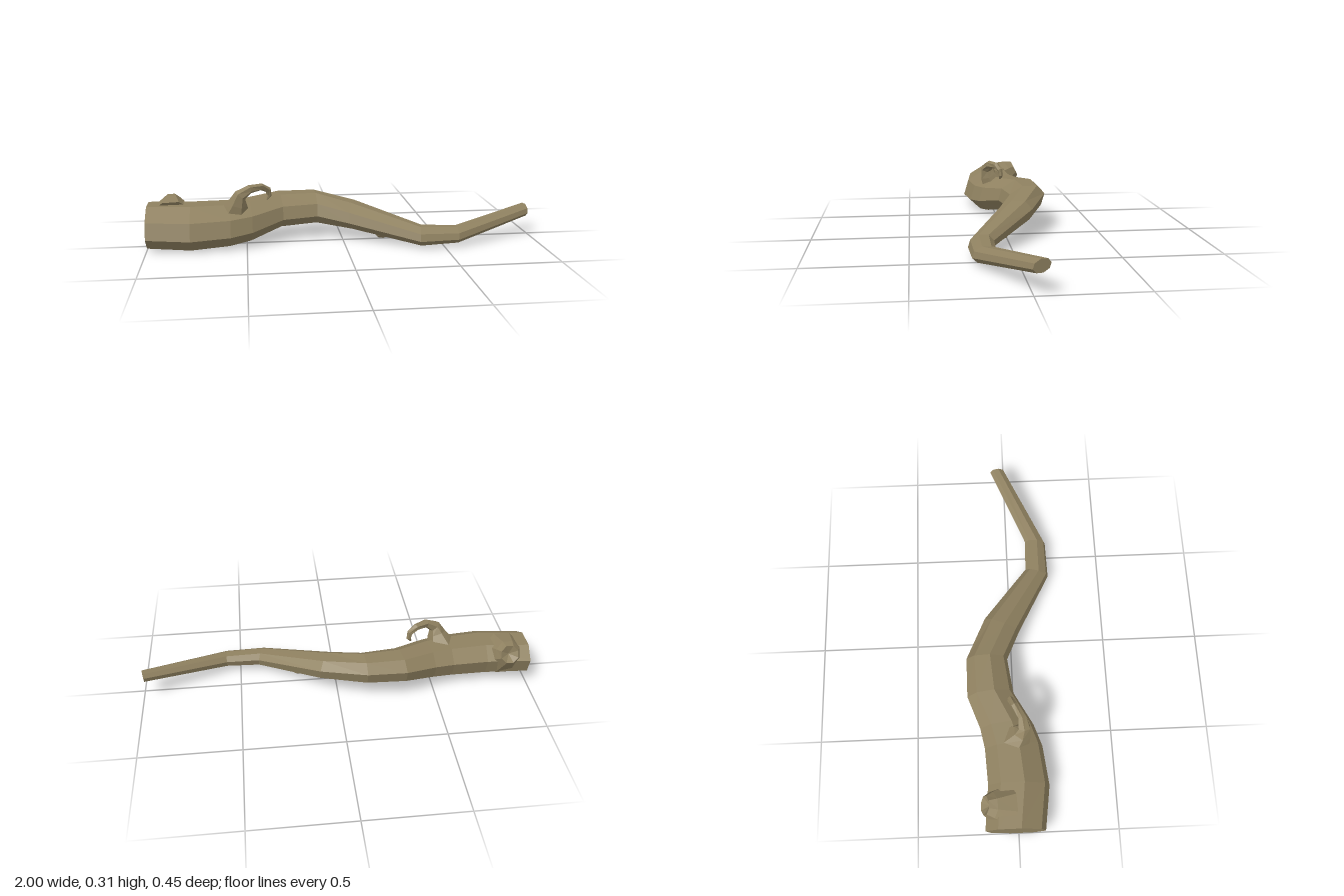
import * as THREE from 'three';

const bark = new THREE.MeshStandardMaterial({ color: 0x8f8160, flatShading: true });

// Skin a list of rings, running counter-clockwise about the direction of travel, and cap both ends.
function loft(name, rings, dent = 0) {
  const pos = [];
  const tri = (...pts) => pts.forEach((p) => pos.push(p.x, p.y, p.z));
  const n = rings[0].length;
  const middle = (ring) => ring.reduce((s, p) => s.add(p), new THREE.Vector3()).divideScalar(n);
  const first = rings[0];
  const last = rings[rings.length - 1];
  const c0 = middle(first);
  const c1 = middle(last);
  if (dent) c1.lerp(middle(rings[rings.length - 2]), dent);
  for (let j = 0; j < n; j++) {
    const k = (j + 1) % n;
    for (let i = 0; i < rings.length - 1; i++) {
      const a = rings[i], b = rings[i + 1];
      tri(a[j], a[k], b[k]);
      tri(a[j], b[k], b[j]);
    }
    tri(c0, first[k], first[j]);
    tri(c1, last[j], last[k]);
  }
  const geo = new THREE.BufferGeometry();
  geo.setAttribute('position', new THREE.Float32BufferAttribute(pos, 3));
  geo.computeVertexNormals();
  const mesh = new THREE.Mesh(geo, bark);
  mesh.name = name;
  return mesh;
}

// Tapered shoot through points [x, y, z, radius].
function shoot(name, points, sides, side, dent) {
  const c = points.map((p) => new THREE.Vector3(p[0], p[1], p[2]));
  const rings = points.map((p, i) => {
    const d = c[Math.min(i + 1, c.length - 1)].clone().sub(c[Math.max(i - 1, 0)]).normalize();
    const u = side.clone().addScaledVector(d, -side.dot(d)).normalize();
    const v = d.clone().cross(u);
    return Array.from({ length: sides }, (_, j) => {
      const a = ((j + 0.5) / sides) * Math.PI * 2;
      return c[i].clone().addScaledVector(u, Math.cos(a) * p[3]).addScaledVector(v, Math.sin(a) * p[3]);
    });
  });
  return loft(name, rings, dent);
}

// Octagonal trunk section: back edge (x, z), front edge (x, z), bottom and top y.
function trunkRing([xb, zb, xf, zf, y0, y1]) {
  const hy = (y1 - y0) / 2;
  const hz = (zf - zb) / 2 - 0.1 * hy;
  const k = 1 / Math.cos(Math.PI / 8);
  return Array.from({ length: 8 }, (_, j) => {
    const a = ((j + 0.5) / 8) * Math.PI * 2;
    const w = -Math.cos(a) * k;
    const h = Math.sin(a) * k * hy;
    return new THREE.Vector3(
      (xb + xf) / 2 + (w * (xf - xb)) / 2,
      (y0 + y1) / 2 + h,
      (zb + zf) / 2 + w * hz - 0.3 * h // the section leans back
    );
  });
}

export function createModel() {
  const group = new THREE.Group();
  group.name = 'branch';

  // Winding main limb, thick end at -x
  const sections = [
    [-1, -0.16, -1, 0.13, 0.01, 0.21],
    [-0.78, -0.14, -0.78, 0.16, 0.0, 0.21],
    [-0.6, -0.15, -0.58, 0.135, 0.01, 0.21],
    [-0.5, -0.17, -0.47, 0.095, 0.025, 0.215],
    [-0.34, -0.23, -0.31, 0.0, 0.07, 0.23],
    [-0.14, -0.23, -0.13, -0.025, 0.08, 0.23],
    [0.09, -0.13, 0.03, 0.045, 0.06, 0.19],
    [0.4, 0.1, 0.37, 0.22, 0.012, 0.102],
    [0.57, 0.105, 0.57, 0.215, 0.02, 0.095],
    [0.985, -0.073, 1, 0.005, 0.095, 0.155],
  ];
  group.add(loft('mainLimb', sections.map(trunkRing)));

  const xAxis = new THREE.Vector3(1, 0, 0);
  const zAxis = new THREE.Vector3(0, 0, 1);

  // Hooked twig curling over the limb
  group.add(shoot('hookedTwig', [
    [-0.56, 0.16, 0.0, 0.085],
    [-0.54, 0.225, 0.035, 0.048],
    [-0.527, 0.265, 0.045, 0.032],
    [-0.48, 0.293, 0.035, 0.022],
    [-0.42, 0.296, 0.0, 0.018],
    [-0.385, 0.275, -0.018, 0.016],
    [-0.38, 0.245, -0.022, 0.012],
    [-0.393, 0.224, -0.016, 0.004],
  ], 6, zAxis));

  // Hollow knot near the thick end
  group.add(shoot('knot', [
    [-0.88, 0.14, -0.06, 0.11],
    [-0.885, 0.185, -0.13, 0.068],
    [-0.885, 0.2, -0.16, 0.048],
  ], 8, xAxis, 0.8));

  // Small broken stub underneath
  group.add(shoot('stub', [
    [0.18, 0.085, 0.05, 0.045],
    [0.2, 0.045, 0.045, 0.036],
    [0.205, 0.028, 0.04, 0.026],
  ], 6, xAxis));

  return group;
}
